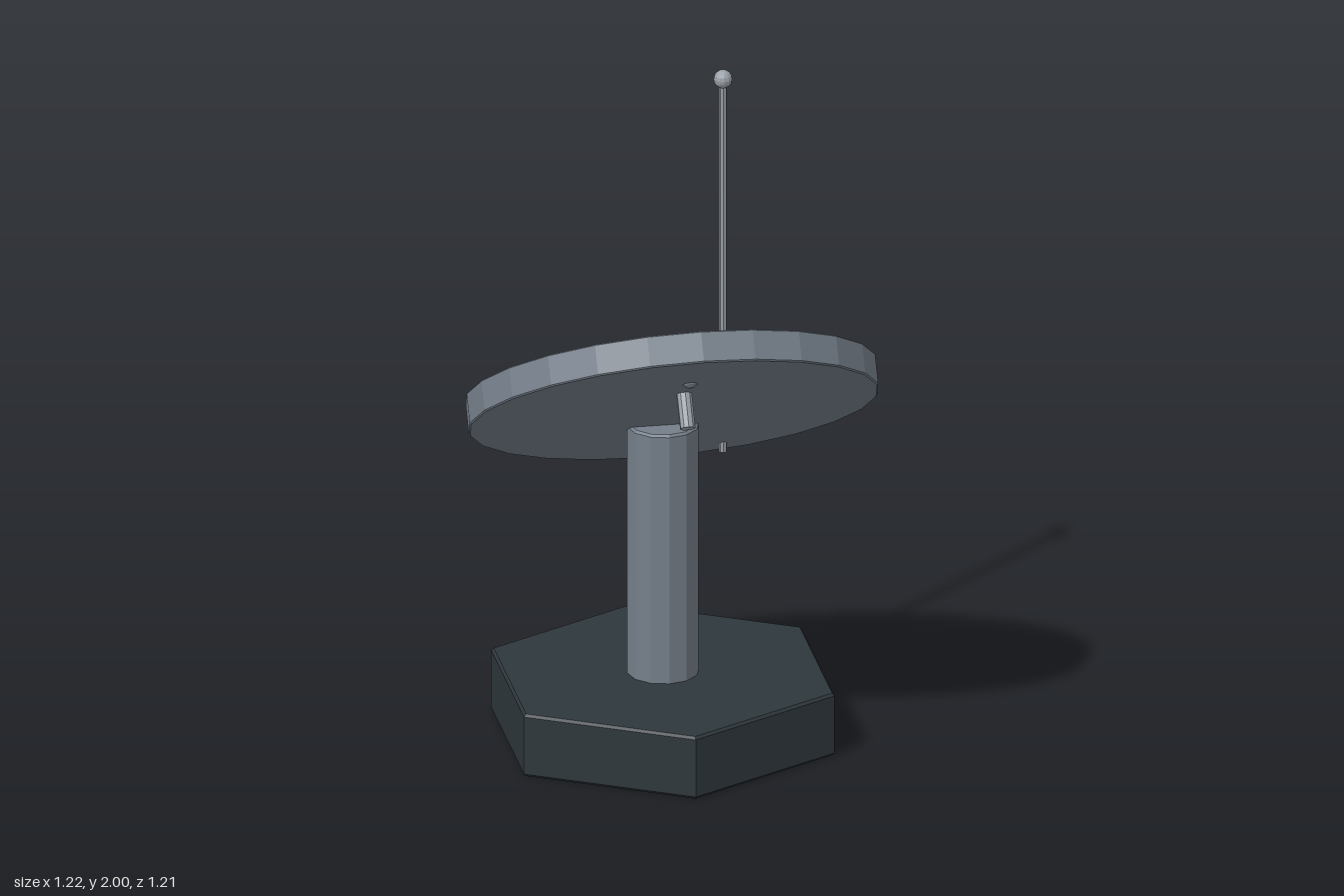
import * as THREE from 'three';

const material = (name, color) => {
  const m = new THREE.MeshStandardMaterial({ color });
  m.name = name;
  return m;
};

// Makes every facet flat.
function faceted(geometry) {
  const g = geometry.index ? geometry.toNonIndexed() : geometry;
  g.computeVertexNormals();
  return g;
}

// Upright prism from y0 to y1 with a small chamfer on both rims.
function prism(radius, y0, y1, sides, bevel) {
  const profile = [
    [0, y0], [radius - bevel, y0], [radius, y0 + bevel],
    [radius, y1 - bevel], [radius - bevel, y1], [0, y1],
  ].map(([x, y]) => new THREE.Vector2(x, y));
  return faceted(new THREE.LatheGeometry(profile, sides));
}

export function createModel() {
  const model = new THREE.Group();
  model.name = 'dishAntenna';

  const darkBase = material('dark slate', 0x2e373c);
  const greyMetal = material('blue grey metal', 0x757f8a);
  const lightMetal = material('light metal', 0x9aa0a8);

  const add = (parent, name, geometry, mat, x = 0, y = 0, z = 0) => {
    const mesh = new THREE.Mesh(geometry, mat);
    mesh.name = name;
    mesh.position.set(x, y, z);
    parent.add(mesh);
    return mesh;
  };

  // Hexagonal foot and column
  add(model, 'base', prism(0.537, 0, 0.197, 6, 0.008), darkBase, 0, 0, -0.07);
  add(model, 'post', prism(0.107, 0.19, 0.985, 12, 0.007), greyMetal, 0, 0, -0.07);

  // Tilted dish with its feed rod along the dish normal
  const dish = new THREE.Group();
  dish.name = 'dishAssembly';
  dish.position.set(0, 1.132, 0.078);
  dish.rotation.x = THREE.MathUtils.degToRad(-35);
  model.add(dish);
  add(dish, 'dish', prism(0.61, -0.048, 0.048, 24, 0.004), greyMetal);
  add(dish, 'feedRod', faceted(new THREE.CylinderGeometry(0.023, 0.023, 0.27, 10)),
    lightMetal, 0, -0.018, 0.208);
  add(dish, 'feedNub', faceted(new THREE.SphereGeometry(0.028, 10, 8)),
    greyMetal, 0, -0.032, 0.331);

  // Whip aerial with a ball tip
  add(model, 'aerialRod', faceted(new THREE.CylinderGeometry(0.012, 0.012, 1.18, 8)),
    lightMetal, 0.22, 1.38, -0.29);
  add(model, 'aerialTip', faceted(new THREE.SphereGeometry(0.028, 12, 8)),
    lightMetal, 0.22, 1.972, -0.29);

  return model;
}
